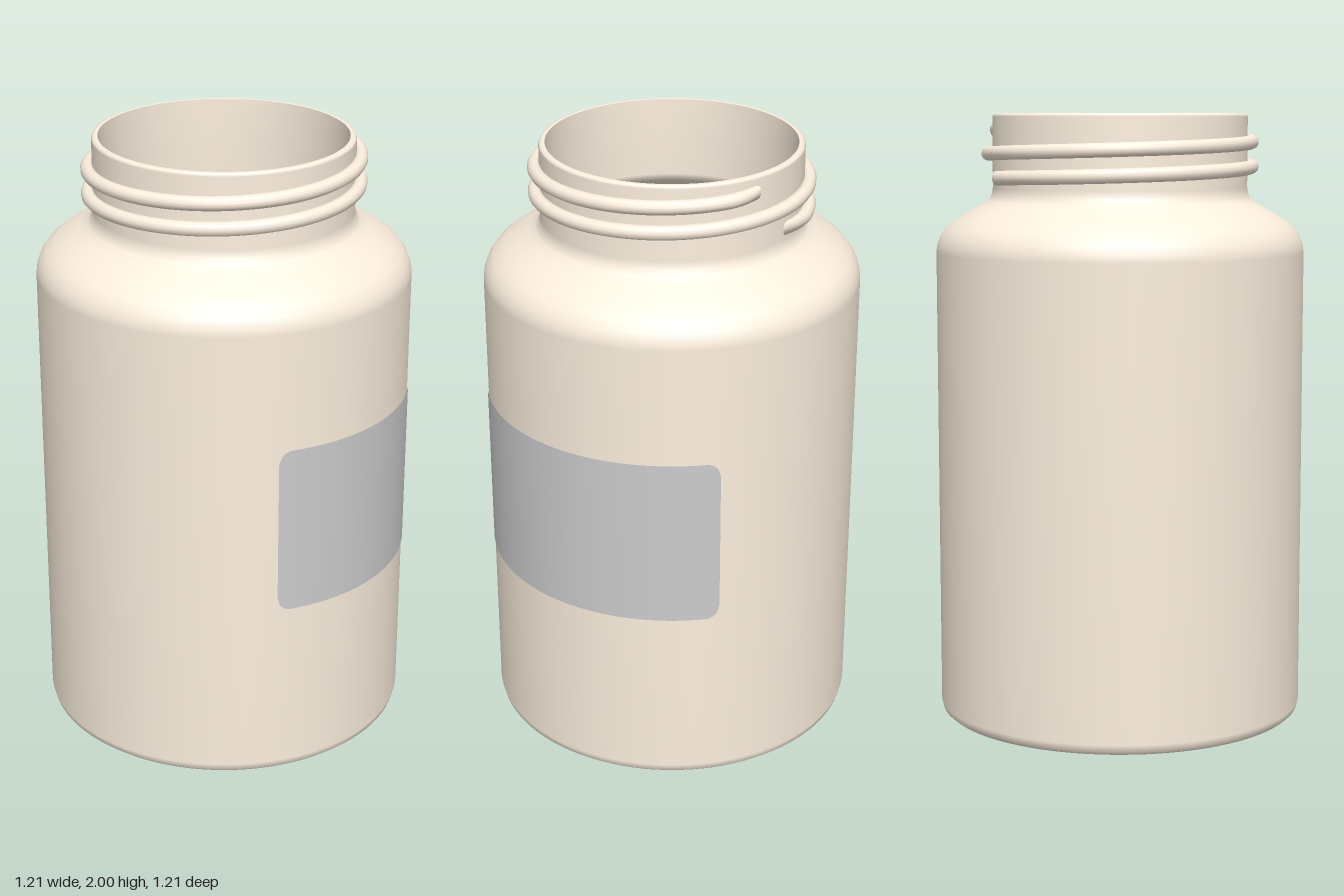
import * as THREE from 'three';

const shell = new THREE.MeshStandardMaterial({ color: 0xfcefde });
const grey = new THREE.MeshStandardMaterial({ color: 0xcccccc });
const rockMat = new THREE.MeshStandardMaterial({ color: 0xcccccc, flatShading: true });

function add(parent, name, geometry, material) {
  const mesh = new THREE.Mesh(geometry, material);
  mesh.name = name;
  parent.add(mesh);
  return mesh;
}

// Hollow jar: up the outside, over the rim, down the inside.
// A repeated point keeps that edge sharp.
function jarGeometry() {
  const profile = [
    [0, 0], [0.56, 0.004], [0.585, 0.01], [0.599, 0.022], [0.605, 0.045],
    [0.605, 0.8], [0.605, 1.55], [0.602, 1.575], [0.592, 1.602], [0.572, 1.63], [0.54, 1.655],
    [0.5, 1.68], [0.46, 1.702], [0.435, 1.718], [0.423, 1.735], [0.418, 1.76],
    [0.418, 1.99], [0.415, 1.997], [0.408, 2], [0.408, 2], [0.398, 2], [0.398, 2],
    [0.396, 1.74], [0.405, 1.715], [0.44, 1.69], [0.51, 1.65], [0.56, 1.61], [0.583, 1.55],
    [0.583, 0.06], [0.56, 0.03], [0, 0.03],
  ];
  return new THREE.LatheGeometry(profile.map(([r, y]) => new THREE.Vector2(r, y)), 96);
}

// Two-turn screw thread that sinks into the neck at both ends
function threadGeometry() {
  const turns = 2, pitch = 0.08, radius = 0.432, root = 0.408;
  class Helix extends THREE.Curve {
    getPoint(t, target = new THREE.Vector3()) {
      const a = t * turns * Math.PI * 2;
      return target.set(-Math.sin(a) * radius, 1.79 + t * turns * pitch, -Math.cos(a) * radius);
    }
  }
  const segments = 240, sides = 12;
  const geo = new THREE.TubeGeometry(new Helix(), segments, 0.023, sides, false);
  const pos = geo.attributes.position;
  for (let i = 0; i < pos.count; i++) {
    const t = Math.floor(i / (sides + 1)) / segments;
    const taper = THREE.MathUtils.smoothstep(Math.min(t, 1 - t), 0, 0.035);
    const r = Math.hypot(pos.getX(i), pos.getZ(i));
    const k = (root + (r - root) * taper) / r;
    pos.setX(i, pos.getX(i) * k);
    pos.setZ(i, pos.getZ(i) * k);
  }
  return geo;
}

// Label: a plane wrapped round the jar, its ends shortened to round the corners
function labelGeometry() {
  const from = THREE.MathUtils.degToRad(59.5), to = THREE.MathUtils.degToRad(-57);
  const R = 0.608, half = 0.278, corner = 0.045, midY = 0.888;
  const geo = new THREE.PlaneGeometry(1, 2, 140, 1);
  const pos = geo.attributes.position, normal = geo.attributes.normal;
  for (let i = 0; i < pos.count; i++) {
    const u = pos.getX(i) + 0.5;
    const a = THREE.MathUtils.lerp(from, to, u);
    const edge = Math.min(u, 1 - u) * (from - to) * R;
    const d = Math.max(0, corner - edge);
    const h = half - corner + Math.sqrt(corner * corner - d * d);
    pos.setXYZ(i, Math.cos(a) * R, midY + pos.getY(i) * h, Math.sin(a) * R);
    normal.setXYZ(i, Math.cos(a), 0, Math.sin(a));
  }
  return geo;
}

// Rough faceted rock; the displacement depends only on direction, so no cracks
function rockGeometry(size, seed) {
  const geo = new THREE.IcosahedronGeometry(size, 2);
  const pos = geo.attributes.position;
  const v = new THREE.Vector3();
  for (let i = 0; i < pos.count; i++) {
    v.fromBufferAttribute(pos, i).divideScalar(size);
    const bump = 0.9 + 0.1 * Math.sin(v.x * 4.1 + seed) * Math.cos(v.y * 3.3 - seed * 2)
      + 0.07 * Math.sin(v.z * 7.7 + v.x * 5.3 + seed * 3);
    // Clamping the axes breaks the sphere into blocky faces
    v.clampScalar(-0.74, 0.74).multiplyScalar(size * bump * 1.08);
    pos.setXYZ(i, v.x, v.y, v.z);
  }
  geo.computeVertexNormals();
  return geo;
}

export function createModel() {
  const model = new THREE.Group();
  add(model, 'jar', jarGeometry(), shell);
  add(model, 'screwThread', threadGeometry(), shell);
  add(model, 'label', labelGeometry(), grey);

  // Loose rocks heaped on the floor of the jar: x, y, z, size
  const rocks = new THREE.Group();
  rocks.name = 'rocks';
  [
    [0.33, 0.22, -0.06, 0.2], [0.2, 0.24, -0.31, 0.2], [-0.17, 0.22, -0.32, 0.2],
    [-0.36, 0.22, -0.02, 0.19], [-0.22, 0.23, 0.28, 0.2], [0.04, 0.2, 0.36, 0.18],
    [0.29, 0.23, 0.26, 0.19], [0, 0.24, 0.12, 0.2], [-0.11, 0.46, -0.09, 0.22],
  ].forEach(([x, y, z, size], i) => {
    const rock = add(rocks, 'rock', rockGeometry(size, i * 1.7 + 0.4), rockMat);
    rock.position.set(x, y, z);
    rock.rotation.set(i * 0.9, i * 1.3, i * 0.5);
  });
  model.add(rocks);
  return model;
}
